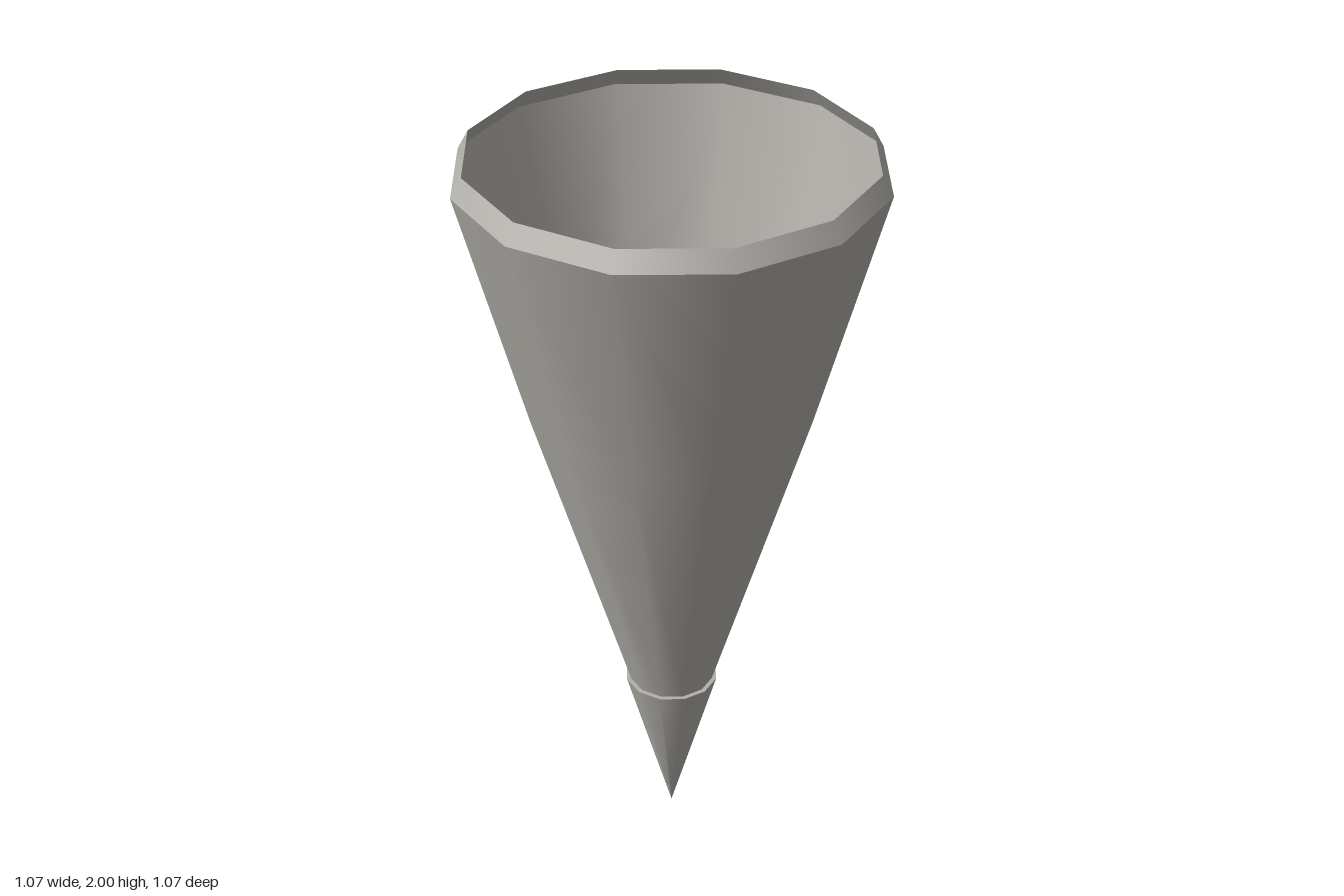
import * as THREE from 'three';

const SIDES = 12;

export function createModel() {
  const model = new THREE.Group();
  model.name = 'hollowCone';

  // thin open shell, visible from inside and outside
  const warmGrey = new THREE.MeshStandardMaterial({ color: 0xb2b0aa, side: THREE.DoubleSide });
  warmGrey.name = 'warmGrey';

  // each band is its own lathe, so edges between bands stay sharp
  const addBand = (name, profile) => {
    const points = profile.map(([r, y]) => new THREE.Vector2(r, y));
    const mesh = new THREE.Mesh(new THREE.LatheGeometry(points, SIDES), warmGrey);
    mesh.name = name;
    model.add(mesh);
  };

  // pointed foot, slightly wider than the body above it
  addBand('tip', [[0, 0], [0.125, 0.455]]);
  // narrow step between the foot and the body
  addBand('tipLedge', [[0.125, 0.455], [0.113, 0.455]]);
  // long flaring wall with a slight bend
  addBand('body', [[0.113, 0.455], [0.363, 1.31], [0.533, 1.95]]);
  // lip turned inwards around the opening
  addBand('rim', [[0.533, 1.95], [0.505, 2]]);

  return model;
}
